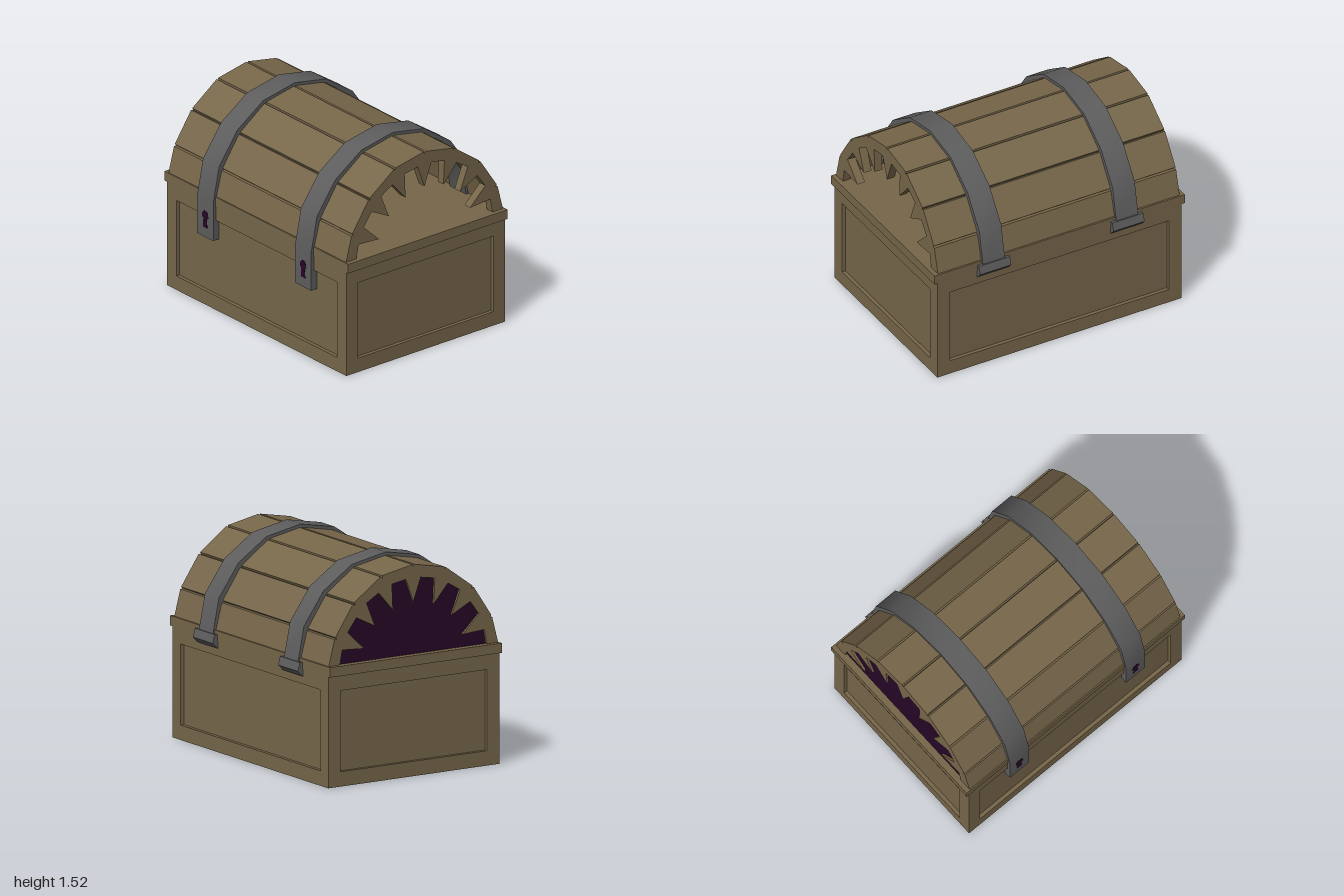
import * as THREE from 'three';
import { toCreasedNormals } from 'three/addons/utils/BufferGeometryUtils.js';

const wood = new THREE.MeshStandardMaterial({ color: 0x77674a, side: THREE.DoubleSide });
wood.name = 'wood';
const iron = new THREE.MeshStandardMaterial({ color: 0x5d5d5d });
iron.name = 'iron';
const darkPurple = new THREE.MeshStandardMaterial({ color: 0x270628, side: THREE.DoubleSide });
darkPurple.name = 'dark purple';
const darkRed = new THREE.MeshStandardMaterial({ color: 0x702424 });
darkRed.name = 'dark red';

const ZC = 0.012; // depth position of the lid's ridge

function part(parent, name, geometry, material, x = 0, y = 0, z = 0) {
  const mesh = new THREE.Mesh(geometry, material);
  mesh.name = name;
  mesh.position.set(x, y, z);
  parent.add(mesh);
  return mesh;
}

const shapeOf = (points) => new THREE.Shape(points.map(([x, y]) => new THREE.Vector2(x, y)));
const rect = (x0, y0, x1, y1) => [[x0, y0], [x1, y0], [x1, y1], [x0, y1]];

// Extrudes a [z, y] outline along x, from x0 to x1
function extrudeX(points, x0, x1) {
  const geometry = new THREE.ExtrudeGeometry(
    shapeOf(points.map(([z, y]) => [-z, y])), { depth: x1 - x0, bevelEnabled: false });
  return geometry.rotateY(Math.PI / 2).translate(x0, 0, 0);
}

// Mirrors a half outline (ending on the ridge) to the back
const mirrored = (half) => [...half, ...half.slice(0, -1).reverse().map(([z, y]) => [-z, y])];
const scaled = (points, s, y0) => points.map(([z, y]) => [z * s, y0 + (y - y0) * s]);
const shifted = (points) => points.map(([z, y]) => [z + ZC, y]);

// Cuts a small V groove at every corner between planks
function grooved(points) {
  return points.flatMap((p, i) => {
    if (i === 0 || i === points.length - 1) return [p];
    const towards = (q, d) => {
      const length = Math.hypot(q[0] - p[0], q[1] - p[1]);
      return [p[0] + (q[0] - p[0]) * d / length, p[1] + (q[1] - p[1]) * d / length];
    };
    return [towards(points[i - 1], 0.008), towards([0, 0.86], 0.02), towards(points[i + 1], 0.008)];
  });
}

// One side of the base: flat frame, recess edges and sunken panel, facing +z
function panelWall(name, width, panelWidth) {
  const wall = new THREE.Group();
  wall.name = name;
  const w = width / 2, p = panelWidth / 2, y0 = 0.105, y1 = 0.68, depth = 0.028;
  const hole = new THREE.Path(rect(-p, y0, p, y1).map(([x, y]) => new THREE.Vector2(x, y)));
  const frame = shapeOf(rect(-w, 0, w, 0.79));
  frame.holes.push(hole);
  part(wall, 'frame', new THREE.ShapeGeometry(frame), wood);
  const e = 0.004;
  const lip = shapeOf(rect(-p - e, y0 - e, p + e, y1 + e));
  lip.holes.push(hole);
  part(wall, 'recessEdge', new THREE.ExtrudeGeometry(lip, { depth: depth - 0.001, bevelEnabled: false }),
    wood, 0, 0, -depth);
  part(wall, 'sunkenPanel', new THREE.PlaneGeometry(panelWidth, y1 - y0), wood, 0, (y0 + y1) / 2, -depth);
  return wall;
}

function buildBase() {
  const base = new THREE.Group();
  base.name = 'base';
  const zMid = 0.01;
  for (const [name, angle, width, panel, x, z] of [
    ['frontWall', 0, 1.95, 1.75, 0, 0.72],
    ['backWall', Math.PI, 1.95, 1.75, 0, -0.70],
    ['leftWall', Math.PI / 2, 1.42, 1.215, 0.975, zMid],
    ['rightWall', -Math.PI / 2, 1.42, 1.215, -0.975, zMid],
  ]) {
    const wall = panelWall(name, width, panel);
    wall.rotation.y = angle;
    wall.position.set(x, 0, z);
    base.add(wall);
  }
  // Rim slab that closes the base, with its red underside
  part(base, 'rim', new THREE.BoxGeometry(2, 0.07, 1.428), wood, 0, 0.825, zMid);
  part(base, 'floorUnderside', new THREE.BoxGeometry(1.94, 0.006, 1.41), darkRed, 0, 0.786, zMid);
  return base;
}

function buildLid() {
  const lid = new THREE.Group();
  lid.name = 'lid';
  const arch = mirrored([[0.703, 0.86], [0.652, 1.053], [0.497, 1.283], [0.266, 1.449], [0, 1.5]]);
  const outer = grooved(arch);
  const inner = scaled(arch, 0.965, 0.86);

  // Planks
  part(lid, 'planks', extrudeX(shifted([...outer, ...[...inner].reverse()]), -0.964, 0.964), wood);

  // Toothed arches closing both ends
  const teeth = mirrored([
    [0.61, 0.86], [0.59, 0.964], [0.408, 0.952], [0.545, 1.081], [0.473, 1.178], [0.319, 1.101],
    [0.388, 1.271], [0.287, 1.331], [0.17, 1.198], [0.178, 1.38], [0.061, 1.4], [0, 1.234],
  ]);
  const endOutline = shifted([...outer, ...[...teeth].reverse()]);
  part(lid, 'leftToothedEnd', extrudeX(endOutline, 0.905, 0.966), wood);
  part(lid, 'rightToothedEnd', extrudeX(endOutline, -0.966, -0.905), wood);

  // Dark sheet between the right teeth
  part(lid, 'darkBacking', extrudeX(shifted(inner), -0.95, -0.944), darkPurple);
  return lid;
}

function buildStrap(name, x) {
  const strap = new THREE.Group();
  strap.name = name;
  strap.position.x = x;
  // Band over the lid, hanging down at the front, with softly shaded bends
  const arch = mirrored([[0.731, 0.82], [0.679, 1.08], [0.517, 1.31], [0.283, 1.469], [0, 1.523]]);
  const inside = scaled(arch, 0.91, 0.82).reverse();
  const outline = [[0.731, 0.53], ...arch, ...inside, [0.665, 0.53]];
  part(strap, 'band', toCreasedNormals(extrudeX(shifted(outline), -0.0875, 0.0875), 0.7), iron);

  // Wider clasp at the back
  const clasp = [[-0.685, 0.835], [-0.725, 0.835], [-0.742, 0.775], [-0.702, 0.735], [-0.685, 0.735]];
  part(strap, 'backClasp', extrudeX(clasp, -0.124, 0.124), iron);

  // Keyhole
  const keyhole = shapeOf([
    [-0.024, 0.603], [0.024, 0.603], [0.018, 0.672], [0.034, 0.682], [0.03, 0.71], [0.012, 0.73],
    [-0.012, 0.73], [-0.03, 0.71], [-0.034, 0.682], [-0.018, 0.672],
  ]);
  part(strap, 'keyhole', new THREE.ExtrudeGeometry(keyhole, { depth: 0.003, bevelEnabled: false }),
    darkPurple, 0, 0, 0.742);
  return strap;
}

export function createModel() {
  const chest = new THREE.Group();
  chest.name = 'chest';
  chest.add(buildBase(), buildLid(), buildStrap('leftStrap', 0.533), buildStrap('rightStrap', -0.533));
  return chest;
}
